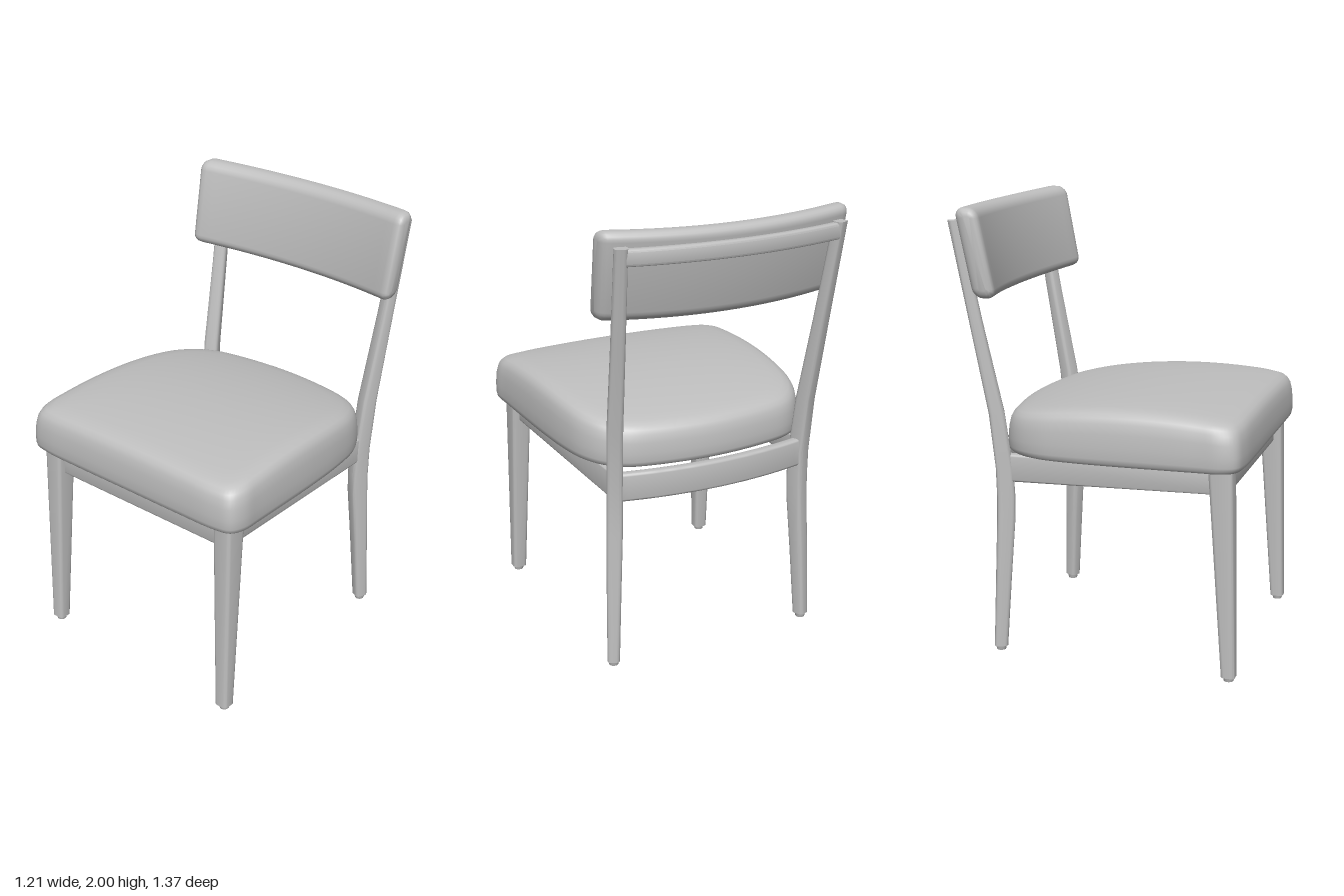
import * as THREE from 'three';
import { toCreasedNormals } from 'three/addons/utils/BufferGeometryUtils.js';

const grey = new THREE.MeshStandardMaterial({ color: 0xbfbfbf });
grey.name = 'warm grey';
const V = (x, y, z) => new THREE.Vector3(x, y, z);
const { lerp } = THREE.MathUtils;

// Skin a closed solid over rings of equal point count, with fan caps
function loft(name, rings, crease = 0.6) {
  const n = rings[0].length, pos = [], idx = [];
  for (const ring of rings) for (const p of ring) pos.push(p.x, p.y, p.z);
  for (let i = 0; i < rings.length - 1; i++) {
    for (let j = 0; j < n; j++) {
      const a = i * n + j, b = i * n + (j + 1) % n;
      idx.push(a, b, b + n, a, b + n, a + n);
    }
  }
  for (const last of [false, true]) {
    const start = last ? (rings.length - 1) * n : 0;
    const c = V(0, 0, 0);
    for (const p of rings[last ? rings.length - 1 : 0]) c.addScaledVector(p, 1 / n);
    const ci = pos.length / 3;
    pos.push(c.x, c.y, c.z);
    for (let j = 0; j < n; j++) {
      const a = start + j, b = start + (j + 1) % n;
      if (last) idx.push(ci, a, b); else idx.push(ci, b, a);
    }
  }
  const g = new THREE.BufferGeometry();
  g.setAttribute('position', new THREE.Float32BufferAttribute(pos, 3));
  g.setIndex(idx);
  const mesh = new THREE.Mesh(toCreasedNormals(g, crease), grey);
  mesh.name = name;
  return mesh;
}

// Counterclockwise rounded rectangle
function roundRect(w, h, r, steps = 3) {
  const pts = [];
  [[1, 1], [-1, 1], [-1, -1], [1, -1]].forEach(([sx, sy], q) => {
    for (let k = 0; k <= steps; k++) {
      const t = (q + k / steps) * Math.PI / 2;
      pts.push([sx * (w / 2 - r) + r * Math.cos(t), sy * (h / 2 - r) + r * Math.sin(t)]);
    }
  });
  return pts;
}

// Upright post; each station is [y, x, z, width, depth]
function post(name, stations, turn) {
  const c = Math.cos(turn), s = Math.sin(turn);
  return loft(name, stations.map(([y, x, z, w, d]) =>
    roundRect(w, d, 0.016).map(([a, b]) => V(x + a * c - b * s, y, z - a * s - b * c))));
}

// Rail running along x and bowed backwards in the middle
function crossRail(name, half, yMid, height, zEnd, zMid, thick) {
  const rings = [];
  for (let i = 0; i <= 20; i++) {
    const t = i / 10 - 1, z = lerp(zMid, zEnd, t * t);
    rings.push(roundRect(thick, height, 0.012).map(([a, b]) => V(t * half, yMid + b, z - a)));
  }
  return loft(name, rings);
}

function seatCushion() {
  const half = [[0, 0.685], [0.3, 0.685], [0.5, 0.68], [0.575, 0.66], [0.603, 0.6], [0.603, 0.5],
    [0.598, 0.3], [0.59, 0.1], [0.573, -0.1], [0.545, -0.24], [0.49, -0.345], [0.41, -0.412],
    [0.27, -0.45], [0, -0.475]];
  const left = half.slice(1, -1).reverse().map(([x, z]) => [-x, z]);
  const curve = new THREE.CatmullRomCurve3([...half, ...left].map(([x, z]) => V(x, 0, z)), true);
  const outline = curve.getPoints(112).slice(0, -1);
  // Inset from the outline, then height from underside to crown
  const layers = [[0.035, 0], [0.013, 0.02], [0.003, 0.07], [0, 0.15], [0, 0.35], [0.004, 0.6],
    [0.012, 0.78], [0.022, 0.87], [0.038, 0.935], [0.065, 0.97], [0.11, 0.985], [0.2, 0.995],
    [0.32, 1], [0.44, 1], [0.54, 1]];
  return loft('seatCushion', layers.map(([inset, f]) => outline.map((p) => {
    const x = p.x * (1 - inset / 0.6), z = 0.1 + (p.z - 0.1) * (1 - inset / 0.58);
    const bottom = 0.925 + 0.022 * z;
    const top = 1.19 - 0.18 * (z - 0.25) ** 2 - 0.05 * x * x;
    return V(x, lerp(bottom, top, f), z);
  })), 0.9);
}

function backCushion() {
  const rings = [];
  const ring = (t, shrink) => {
    rings.push(roundRect(0.105 - 2 * shrink, 0.385 - 2 * shrink, 0.042 - shrink * 0.9, 5).map(([a, b]) => {
      const x = t * (0.572 + 0.03 * b);
      const z = -0.488 - 0.075 * (1 - t * t) - 0.2 * b - a;
      return V(x, 1.808 + b - 0.014 * (1 - t * t), z);
    }));
  };
  const ends = [[1, 0.036], [0.992, 0.02], [0.978, 0.009], [0.955, 0.002]];
  ends.forEach(([t, s]) => ring(-t, s));
  for (let i = -12; i <= 12; i++) ring(i / 13, 0);
  ends.reverse().forEach(([t, s]) => ring(t, s));
  return loft('backCushion', rings, 0.9);
}

export function createModel() {
  const chair = new THREE.Group();
  chair.name = 'diningChair';
  chair.add(seatCushion(), backCushion());

  for (const s of [1, -1]) {
    const side = s > 0 ? 'left' : 'right';
    // Tapered front leg
    chair.add(post(side + 'FrontLeg', [
      [0.02, s * 0.516, 0.63, 0.065, 0.062],
      [0.95, s * 0.502, 0.582, 0.094, 0.106],
    ], 0));
    // Rear leg sweeping up into the back post
    chair.add(post(side + 'RearLeg', [
      [0.02, s * 0.487, -0.437, 0.055, 0.06],
      [0.35, s * 0.474, -0.423, 0.064, 0.07],
      [0.62, s * 0.462, -0.411, 0.07, 0.08],
      [0.72, s * 0.46, -0.41, 0.07, 0.08],
      [0.85, s * 0.461, -0.415, 0.07, 0.077],
      [1.1, s * 0.47, -0.443, 0.07, 0.07],
      [1.5, s * 0.488, -0.522, 0.063, 0.058],
      [1.94, s * 0.508, -0.605, 0.057, 0.052],
    ], -s * 0.42));
    // Side rail of the seat frame
    chair.add(loft(side + 'SideRail', [
      [-0.41, 0.79, 0.915, 0.455], [0.56, 0.828, 0.94, 0.495],
    ].map(([z, y0, y1, x]) => roundRect(0.045, y1 - y0, 0.01)
      .map(([a, b]) => V(s * x + a, (y0 + y1) / 2 + b, z)))));
    // Floor glides
    for (const [x, z, end] of [[0.516, 0.63, 'Front'], [0.487, -0.437, 'Rear']]) {
      const glide = new THREE.Mesh(new THREE.CylinderGeometry(0.027, 0.021, 0.024, 16), grey);
      glide.position.set(s * x, 0.012, z);
      glide.name = side + end + 'Glide';
      chair.add(glide);
    }
  }

  chair.add(
    crossRail('frontRail', 0.48, 0.877, 0.125, 0.58, 0.58, 0.045),
    crossRail('lowerBackRail', 0.46, 0.847, 0.128, -0.425, -0.482, 0.045),
    crossRail('topBackRail', 0.495, 1.9, 0.072, -0.605, -0.667, 0.042),
  );
  return chair;
}
